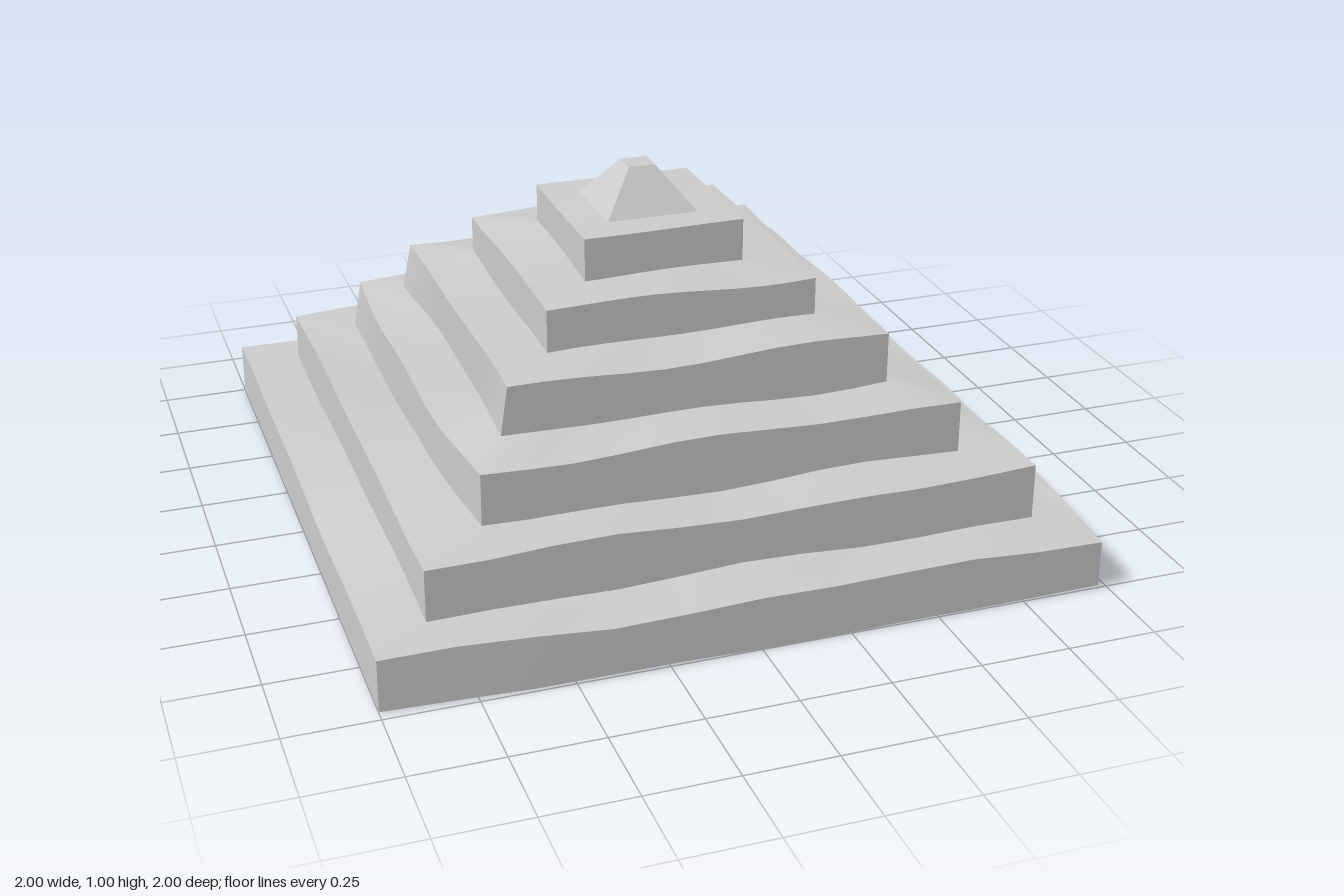
import * as THREE from 'three';
import { toCreasedNormals } from 'three/addons/utils/BufferGeometryUtils.js';

const SEG = 10; // points along each side

// Corner signs in walking order: front-left, front-right, back-right, back-left
const CORNERS = [[-1, 1], [1, 1], [1, -1], [-1, -1]];

// Gentle weathering of the stone edges
const wobble = (x, z, seed) =>
  0.006 * Math.sin(5.1 * x + 3.7 * z + seed * 2.3) + 0.005 * Math.sin(9.7 * x - 8.3 * z + seed * 4.1);

// Square ring; chips pull single corners by [dx, dz], fading out along the sides
function ring(half, y, seed, chips = {}, amount = 1) {
  const pts = [];
  CORNERS.forEach(([ax, az], c) => {
    const [bx, bz] = CORNERS[(c + 1) % 4];
    for (let i = 0; i < SEG; i++) {
      const t = i / SEG;
      let x = half * (ax + (bx - ax) * t), z = half * (az + (bz - az) * t);
      const h = y + amount * wobble(x, z, seed);
      const chipA = chips[c] || [0, 0], chipB = chips[(c + 1) % 4] || [0, 0];
      const wa = Math.max(0, 1 - t * 4), wb = Math.max(0, t * 4 - 3);
      x += chipA[0] * wa + chipB[0] * wb;
      z += chipA[1] * wa + chipB[1] * wb;
      pts.push(new THREE.Vector3(x, h, z));
    }
  });
  return pts;
}

// Join rings from bottom to top; caps close the ends
function loft(rings, capBottom, capTop) {
  const pos = [], idx = [], n = rings[0].length;
  rings.forEach(r => r.forEach(p => pos.push(p.x, p.y, p.z)));
  for (let r = 0; r < rings.length - 1; r++)
    for (let i = 0; i < n; i++) {
      const a = r * n + i, b = r * n + (i + 1) % n;
      idx.push(a, b, b + n, a, b + n, a + n);
    }
  const cap = (r, up) => {
    const centre = pos.length / 3;
    const y = rings[r].reduce((s, p) => s + p.y, 0) / n;
    pos.push(0, y, 0);
    for (let i = 0; i < n; i++) {
      const a = r * n + i, b = r * n + (i + 1) % n;
      idx.push(centre, up ? a : b, up ? b : a);
    }
  };
  if (capBottom) cap(0, false);
  if (capTop) cap(rings.length - 1, true);
  const g = new THREE.BufferGeometry();
  g.setAttribute('position', new THREE.Float32BufferAttribute(pos, 3));
  g.setIndex(idx);
  return toCreasedNormals(g, 0.5);
}

export function createModel() {
  const group = new THREE.Group();
  const material = new THREE.MeshStandardMaterial({ color: 0xcccccc });
  const add = (name, geometry) => {
    const mesh = new THREE.Mesh(geometry, material);
    mesh.name = name;
    group.add(mesh);
  };

  // half width, wall bottom, wall top, worn corners at the bottom and top
  const tiers = [
    [1.0, 0.01, 0.155, { 0: [0, -0.03], 1: [-0.025, 0] }, { 0: [0, -0.03], 1: [-0.025, 0] }],
    [0.845, 0.168, 0.313, { 2: [-0.015, 0] }, { 2: [-0.015, 0] }],
    [0.69, 0.32, 0.468, { 0: [0.035, 0] }, { 0: [0.035, 0], 3: [0.02, 0.02] }],
    [0.538, 0.484, 0.625, { 0: [-0.02, 0], 3: [-0.022, -0.022] }, {}],
    [0.384, 0.638, 0.757, { 2: [-0.012, 0] }, { 2: [-0.012, 0] }],
    [0.229, 0.768, 0.883, {}, {}],
  ];
  const peak = [0.131, 0.885];

  // Each tier is a wall and a ledge that rises slightly to the foot of the next
  tiers.forEach(([half, bottom, top, low, high], i) => {
    const foot = ring(half, bottom, i * 2, low, i ? 1 : 0.4);
    const rim = ring(half, top, i * 2 + 1, high, i < 5 ? 1 : 0.3);
    const next = tiers[i + 1];
    const inner = next
      ? ring(next[0], next[1], i * 2 + 2, next[3])
      : ring(peak[0], peak[1], 0, {}, 0);
    add('tier' + (i + 1), loft([foot, rim, inner], i === 0, false));
  });

  // Truncated capstone
  add('capstone', loft([ring(peak[0], peak[1], 0, {}, 0), ring(0.038, 1.003, 0, {}, 0)], false, true));
  return group;
}
